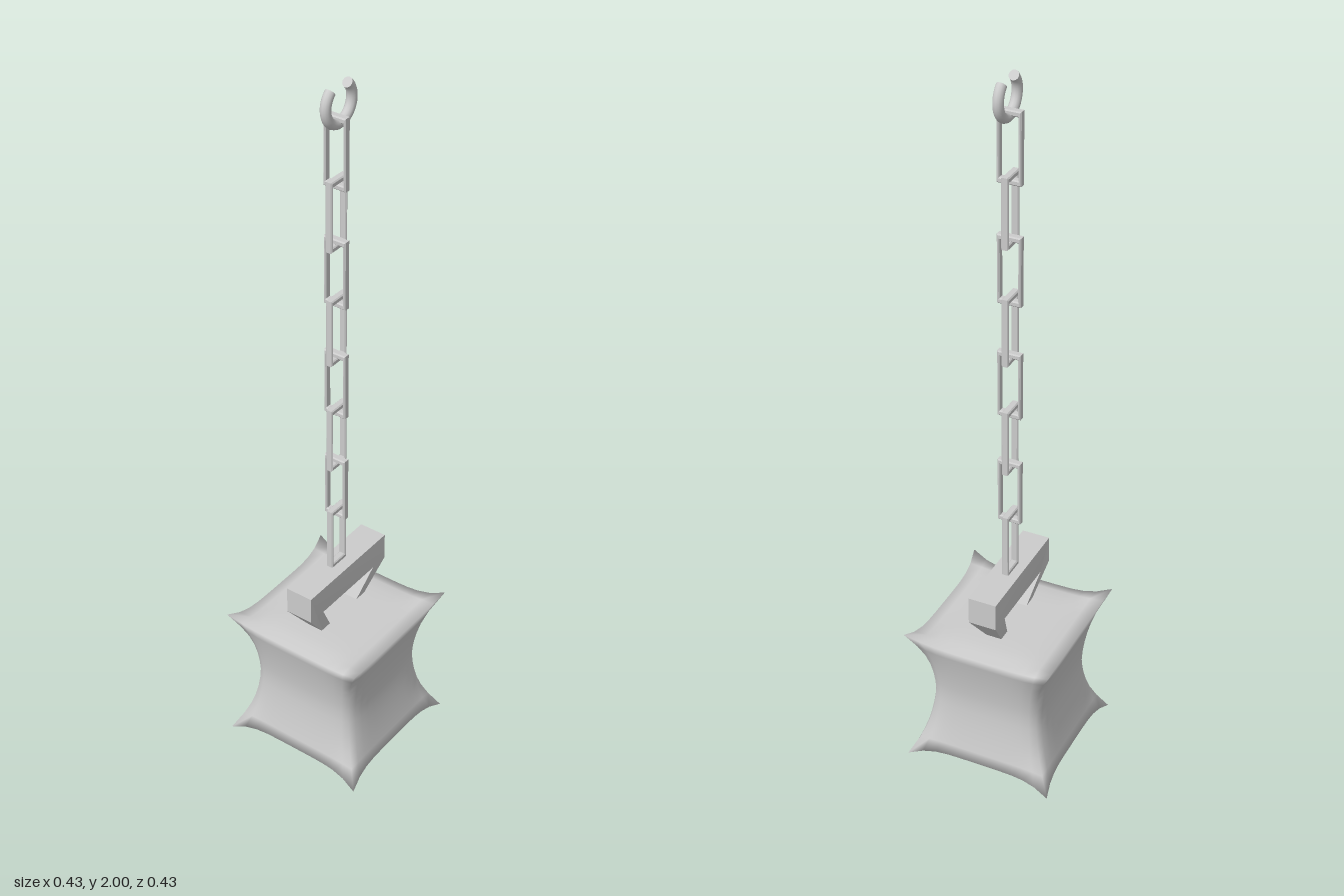
import * as THREE from 'three';
import { mergeVertices, toCreasedNormals } from 'three/addons/utils/BufferGeometryUtils.js';

const grey = new THREE.MeshStandardMaterial({ color: 0xcccccc });

function part(name, geometry, parent) {
  const mesh = new THREE.Mesh(geometry, grey);
  mesh.name = name;
  parent.add(mesh);
  return mesh;
}

// Stuffed cube: narrow waist, rounded edges and corners drawn out to points
function sackGeometry() {
  let geo = new THREE.BoxGeometry(2, 2, 2, 12, 12, 12);
  geo.deleteAttribute('normal');
  geo.deleteAttribute('uv');
  geo = mergeVertices(geo);
  const p = geo.attributes.position;
  for (let i = 0; i < p.count; i++) {
    const u = p.getX(i), v = p.getY(i), w = p.getZ(i);
    const a = Math.abs(u), b = Math.abs(v), c = Math.abs(w);
    const corner = Math.pow(a * b * c, 5);
    const waist = 0.168 + 0.032 * Math.pow(b, 1.6);
    const round = 1 - 0.09 * Math.pow(a * c, 5) * (1 - Math.pow(b, 4));
    const side = waist * round + 0.015 * corner;
    // The top and bottom swell above their seams
    const seam = Math.pow(Math.max(a, c), 6) * (1 - corner);
    const height = 0.197 - 0.012 * seam + 0.016 * corner;
    p.setXYZ(i, u * side, 0.215 + v * height, w * side);
  }
  geo.computeVertexNormals();
  return geo;
}

// Carrying handle: a thick bar with two legs that lean inward and taper
function handleGeometry() {
  const outline = [
    [-0.17, 0.58], [-0.17, 0.5], [-0.09, 0.4], [-0.055, 0.4], [-0.115, 0.5],
    [0.115, 0.5], [0.055, 0.4], [0.09, 0.4], [0.17, 0.5], [0.17, 0.58],
  ];
  const shape = new THREE.Shape(outline.map(([z, y]) => new THREE.Vector2(z, y)));
  const geo = new THREE.ExtrudeGeometry(shape, { depth: 0.08, bevelEnabled: false });
  geo.translate(0, 0, -0.04).rotateY(Math.PI / 2);
  const p = geo.attributes.position;
  for (let i = 0; i < p.count; i++) {
    if (p.getY(i) < 0.45) p.setX(i, p.getX(i) * 0.5);
  }
  return toCreasedNormals(geo, 0.6);
}

// Flat rectangular chain link with slim sides
function linkGeometry() {
  const rect = (path, w, h) => path.moveTo(-w, -h).lineTo(w, -h).lineTo(w, h).lineTo(-w, h).closePath();
  const shape = rect(new THREE.Shape(), 0.033, 0.096);
  shape.holes.push(rect(new THREE.Path(), 0.025, 0.081));
  const geo = new THREE.ExtrudeGeometry(shape, {
    depth: 0.014, bevelEnabled: true, bevelThickness: 0.003, bevelSize: 0.003, bevelOffset: -0.003, bevelSegments: 1,
  });
  return geo.translate(0, 0, -0.007);
}

export function createModel() {
  const model = new THREE.Group();
  model.name = 'chainedWeight';

  part('sack', sackGeometry(), model);
  part('handle', handleGeometry(), model);

  // Chain of eight links, each turned a quarter from the last
  const chain = new THREE.Group();
  chain.name = 'chain';
  chain.position.set(-0.003, 0, -0.003);
  model.add(chain);
  const link = linkGeometry();
  for (let i = 0; i < 8; i++) {
    const mesh = part('chainLink', link, chain);
    mesh.position.y = 0.672 + i * 0.1645;
    mesh.rotation.y = i % 2 ? 0 : Math.PI / 2;
  }

  // Open ring at the top, with the gap facing up
  const hook = new THREE.Group();
  hook.name = 'hook';
  hook.position.set(0.003, 1.95, -0.004);
  hook.rotation.y = Math.PI / 2;
  model.add(hook);
  const radius = 0.0515, tube = 0.0135;
  const start = THREE.MathUtils.degToRad(130), arc = THREE.MathUtils.degToRad(280);
  part('hookRing', new THREE.TorusGeometry(radius, tube, 12, 32, arc).rotateZ(start), hook);
  for (const [angle, turn] of [[start, Math.PI / 2], [start + arc, -Math.PI / 2]]) {
    const cap = part('hookEnd', new THREE.CircleGeometry(tube, 12).rotateX(turn), hook);
    cap.position.set(radius * Math.cos(angle), radius * Math.sin(angle), 0);
    cap.rotation.z = angle;
  }
  return model;
}
